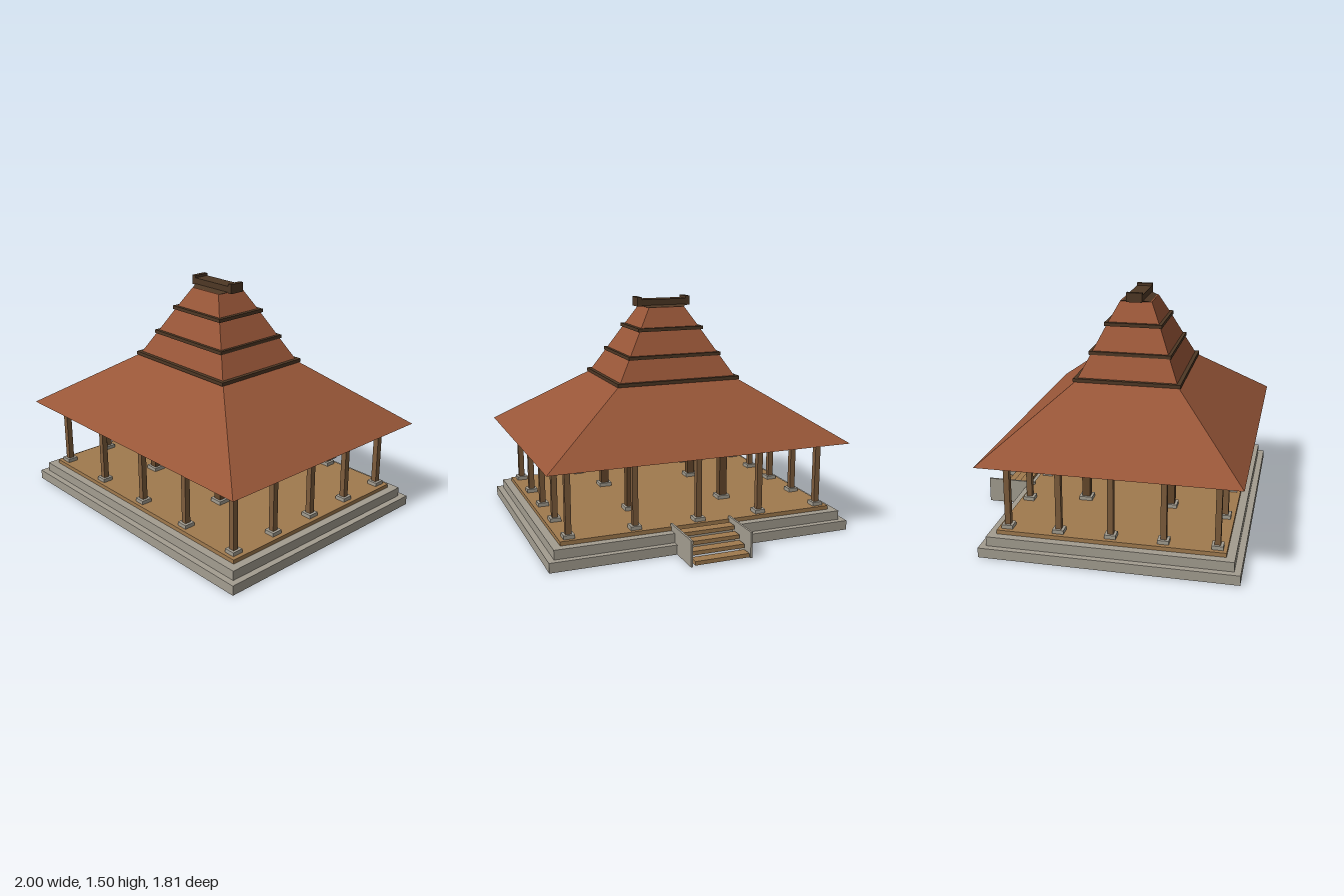
import * as THREE from 'three';

const mat = (color) => new THREE.MeshStandardMaterial({ color, flatShading: true });
const stone = mat(0xa39d90);
const floorWood = mat(0xa07a4e);
const postWood = mat(0x7d5c3c);
const darkWood = mat(0x65482c);
const tile = mat(0x985638);
const trim = mat(0x4e3825);

export function createModel() {
  const model = new THREE.Group();
  // The hall sits forward of centre to leave room for the rear steps
  const hall = new THREE.Group();
  hall.name = 'hall';
  hall.position.z = 0.112;
  model.add(hall);

  const add = (parent, name, geometry, material, x, y, z) => {
    const mesh = new THREE.Mesh(geometry, material);
    mesh.name = name;
    mesh.position.set(x, y, z);
    parent.add(mesh);
    return mesh;
  };

  // Box given by its centre in x and z, and its bottom and top heights
  const block = (parent, name, material, w, d, y0, y1, x = 0, z = 0) =>
    add(parent, name, new THREE.BoxGeometry(w, y1 - y0, d), material, x, (y0 + y1) / 2, z);

  // Rectangular frustum: half sizes [x, z] at the bottom and at the top
  const frustum = (name, material, y0, [bx, bz], y1, [tx, tz]) => {
    const g = new THREE.BoxGeometry(2, y1 - y0, 2);
    const p = g.attributes.position;
    for (let i = 0; i < p.count; i++) {
      const top = p.getY(i) > 0;
      p.setX(i, p.getX(i) * (top ? tx : bx));
      p.setZ(i, p.getZ(i) * (top ? tz : bz));
    }
    g.computeVertexNormals();
    return add(hall, name, g, material, 0, (y0 + y1) / 2, 0);
  };

  // Stepped plinth and floor
  block(hall, 'lowerPlinth', stone, 2, 1.586, 0, 0.062);
  block(hall, 'upperPlinth', stone, 1.92, 1.506, 0.062, 0.122);
  block(hall, 'floor', floorWood, 1.816, 1.402, 0.122, 0.148);

  // Posts on stone footings
  const post = (name, material, x, z, width, footing) => {
    const g = new THREE.Group();
    g.name = name;
    g.position.set(x, 0, z);
    block(g, 'footing', stone, footing, footing, 0.148, 0.172);
    block(g, 'shaft', material, width, width, 0.172, 0.585);
    hall.add(g);
  };
  const px = 0.845, pz = 0.643;
  for (let i = -2; i <= 2; i++) {
    for (let j = -2; j <= 2; j++) {
      if (Math.abs(i) === 2 || Math.abs(j) === 2) {
        post('outerPost', postWood, i * px / 2, j * pz / 2, 0.036, 0.07);
      }
    }
  }
  for (const sx of [-1, 1]) {
    for (const sz of [-1, 1]) post('innerPost', darkWood, sx * 0.33, sz * 0.28, 0.052, 0.086);
  }

  // Beams around the tops of the outer posts
  for (const s of [-1, 1]) {
    block(hall, 'longBeam', postWood, 1.726, 0.036, 0.56, 0.586, 0, s * pz);
    block(hall, 'sideBeam', postWood, 0.036, 1.25, 0.56, 0.586, s * px, 0);
  }

  // Wide lower roof, steep upper roof in three stages
  frustum('lowerRoof', tile, 0.585, [1, 0.793], 0.975, [0.405, 0.322]);
  const stages = [
    [0.975, [0.405, 0.322]],
    [1.134, [0.308, 0.247]],
    [1.3, [0.207, 0.17]],
    [1.436, [0.123, 0.102]],
  ];
  for (let i = 0; i < 3; i++) frustum('upperRoof', tile, ...stages[i], ...stages[i + 1]);

  // Dark bands at each change of stage
  const bands = [[0.42, 0.34, 0.98], [0.32, 0.262, 1.134], [0.225, 0.185, 1.301]];
  for (const [hx, hz, y] of bands) {
    block(hall, 'roofBand', trim, hx * 2, hz * 2, y - 0.011, y + 0.011);
  }

  // Ridge with raised ends
  frustum('ridgeBase', trim, 1.434, [0.123, 0.102], 1.446, [0.155, 0.05]);
  block(hall, 'ridge', trim, 0.312, 0.1, 1.446, 1.484);
  for (const s of [-1, 1]) {
    block(hall, 'ridgeEnd', trim, 0.03, 0.102, 1.44, 1.5, s * 0.169);
  }

  // Rear steps: open treads between two side walls
  const steps = new THREE.Group();
  steps.name = 'rearSteps';
  model.add(steps);
  for (let i = 0; i < 4; i++) {
    const top = 0.036 + i * 0.035;
    block(steps, 'tread', floorWood, 0.352, 0.07, top - 0.025, top, 0, -0.87 + i * 0.069);
  }
  for (const s of [-1, 1]) {
    block(steps, 'stepWall', stone, 0.013, 0.325, 0, 0.165, s * 0.195, -0.735);
  }
  return model;
}
